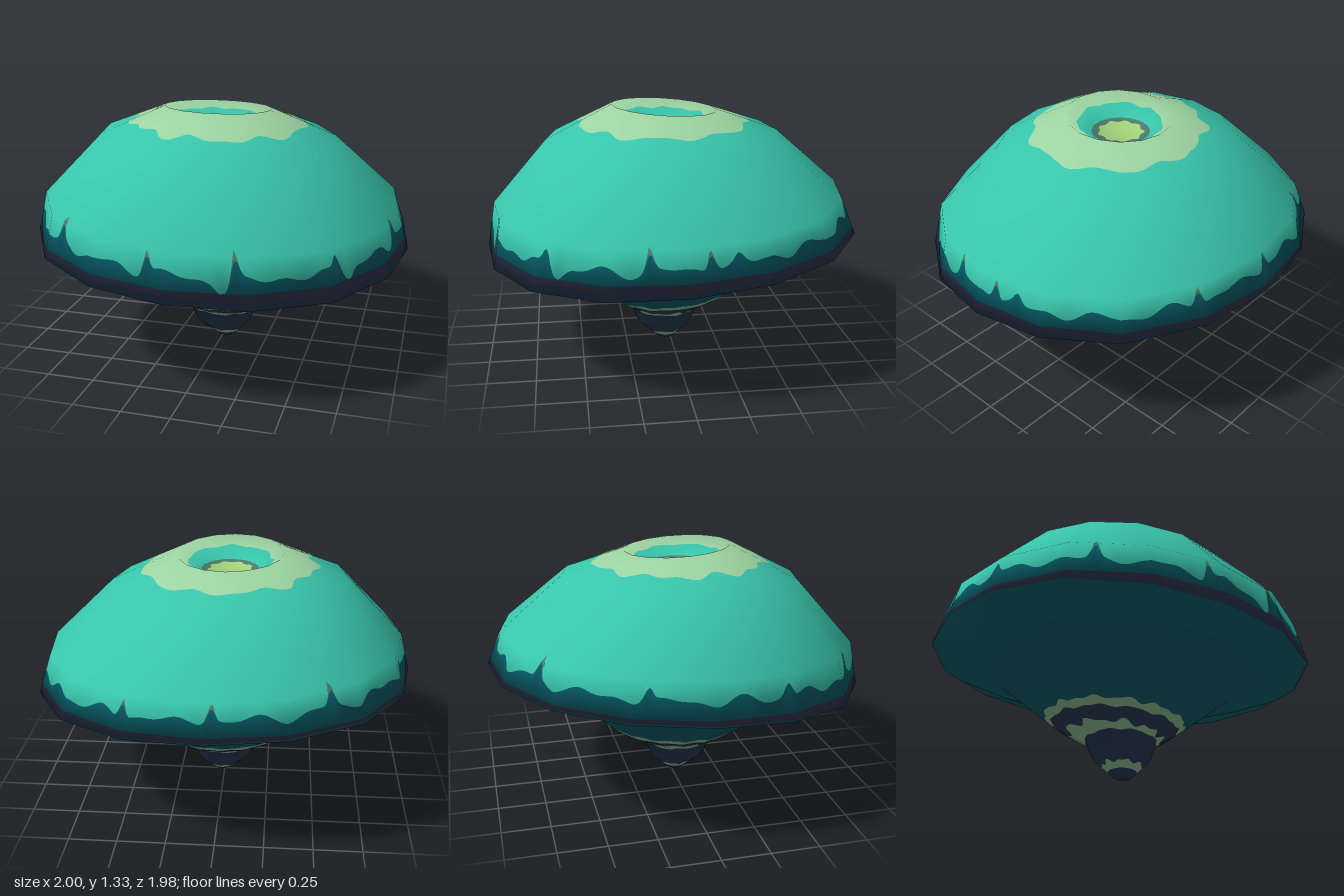
import * as THREE from 'three';

const SIDES = 16, STEPS = 480, TURN = 0.03;

// Cross-sections from the tip up: radius, height, centre x, centre z, slope along x, slope along z, squareness
const RINGS = [
  [0, 0, 0.015, 0.025, 0, 0, 0],
  [0.045, 0.006, 0.015, 0.025, 0, 0, 0],
  [0.15, 0.1, 0, 0.035, -0.06, 0.03, 0],
  [0.195, 0.2, -0.005, 0.035, -0.05, 0.02, 0],
  [0.325, 0.28, -0.015, -0.01, -0.05, -0.07, 0.005],
  [0.638, 0.53, -0.03, 0, -0.047, -0.071, 0.012],
  [1, 0.645, 0, 0, -0.0375, -0.0725, 0.016],
  [0.945, 0.85, -0.005, 0.015, -0.034, -0.043, 0.012],
  [0.63, 1.16, -0.02, 0.04, -0.04, -0.032, 0],
  [0.285, 1.308, -0.03, 0.025, -0.02, 0.06, 0],
  [0.155, 1.22, -0.03, 0.015, 0, 0.02, 0],
  [0, 1.208, -0.03, 0.015, 0, 0, 0],
];
const TOP = RINGS.length - 1;

function corner(ring, side) {
  const [r, y, cx, cz, sx, sz, square] = RINGS[ring];
  const a = (side / SIDES) * Math.PI * 2 + TURN;
  const radius = r * (1 + square * (1 - Math.cos(4 * a)));
  const x = radius * Math.cos(a), z = radius * Math.sin(a) * 0.99;
  return new THREE.Vector3(cx + x, y + sx * x + sz * z, cz + z);
}

// Quad indices for a closed grid of rows and columns
function gridIndex(rows, cols) {
  const index = [];
  for (let i = 0; i < rows - 1; i++) {
    for (let j = 0; j < cols; j++) {
      const k = (j + 1) % cols;
      const a = i * cols + j, b = i * cols + k, c = a + cols, d = b + cols;
      index.push(a, c, b, b, c, d);
    }
  }
  return index;
}

// Smooth normals of the coarse 16-sided shell
function shellNormals() {
  const points = [];
  for (let i = 0; i <= TOP; i++) for (let j = 0; j < SIDES; j++) points.push(corner(i, j));
  const geo = new THREE.BufferGeometry().setFromPoints(points);
  geo.setIndex(gridIndex(RINGS.length, SIDES));
  geo.computeVertexNormals();
  const n = geo.getAttribute('normal');
  return (ring, side) => {
    if (ring === 0) return new THREE.Vector3(0, -1, 0);
    if (ring === TOP) return new THREE.Vector3(0, 1, 0);
    return new THREE.Vector3().fromBufferAttribute(n, ring * SIDES + side);
  };
}

// Blend a corner value across the faceted shell; v counts rings, u counts sides
function blend(value, v, u) {
  const i = Math.min(Math.floor(v), TOP - 1), j = Math.floor(u) % SIDES, k = (j + 1) % SIDES;
  const t = u - Math.floor(u);
  const low = value(i, j).lerp(value(i, k), t);
  return low.lerp(value(i + 1, j).lerp(value(i + 1, k), t), v - i);
}

// One coloured zone of the shell between two wavy edges
function zone(name, material, from, to, normalAt) {
  const first = Math.floor(from(0)) - 1, last = Math.ceil(to(0)) + 1;
  const positions = [], normals = [];
  let rows = 0;
  for (let ring = first; ring <= last; ring++, rows++) {
    for (let s = 0; s < STEPS; s++) {
      const u = (s / STEPS) * SIDES, a = (s / STEPS) * Math.PI * 2 + TURN;
      const lo = from(a), hi = to(a);
      const v = ring === first ? lo : ring === last ? hi : THREE.MathUtils.clamp(ring, lo, hi);
      positions.push(...blend(corner, v, u));
      normals.push(...blend(normalAt, v, u).normalize());
    }
  }
  const geo = new THREE.BufferGeometry();
  geo.setAttribute('position', new THREE.Float32BufferAttribute(positions, 3));
  geo.setAttribute('normal', new THREE.Float32BufferAttribute(normals, 3));
  geo.setIndex(gridIndex(rows, STEPS));
  const mesh = new THREE.Mesh(geo, material);
  mesh.name = name;
  return mesh;
}

// Wavy edge around the shell
const wave = (base, amp, f, phase = 0) => (a) =>
  base + amp * (0.5 * Math.sin(f * a + phase) + 0.3 * Math.sin((f * 2 - 3) * a + 1.3 + phase) + 0.2 * Math.sin((f + 5) * a + 4));
const level = (v) => () => v;

// Edge that swings from its base at the back right to base + rise at the front left
const swing = (base, rise) => (a) => base + rise * (0.5 + 0.5 * Math.cos(a - Math.PI / 4));

// Ragged lower edge of the cap: angle, height, width of each notch or drip
const NOTCHES = [
  [1.69, 0.36, 0.025], [1.26, 0.36, 0.025], [1.32, -0.24, 0.045], [2.26, 0.32, 0.025], [2.8, 0.3, 0.03],
  [0.21, 0.32, 0.025], [6.2, 0.34, 0.025], [6.06, 0.2, 0.03], [5.15, 0.36, 0.025], [4.71, 0.36, 0.025],
  [4.11, 0.36, 0.025], [3.5, 0.3, 0.025], [0.75, 0.3, 0.025], [0.68, -0.18, 0.04],
];
const bump = (a, at, w) => Math.exp(-(((a - at) / w) ** 2));
const ripple = wave(6.57, 0.15, 17);
const capEdge = (a) => NOTCHES.reduce((v, [at, h, w]) => v + h * bump(a, at, w), ripple(a));
const tipEdge = (a) => NOTCHES.reduce((v, [at, h, w]) => v + (h > 0.31 ? 0.13 * bump(a, at, w * 0.7) : 0), capEdge(a));

// Patchy band around the stem, wider towards the back
const bandWave = wave(3.4, 0.22, 9, 2);
const middleEdge = (a) => bandWave(a) - 0.16 * Math.cos(a - Math.PI / 4);

export function createModel() {
  const group = new THREE.Group();
  group.name = 'mushroomShell';
  const paint = (name, color) => {
    const m = new THREE.MeshStandardMaterial({ color });
    m.name = name;
    return m;
  };
  const turquoise = paint('turquoise', 0x38c5ab);
  const darkTeal = paint('dark teal', 0x055a66);
  const navy = paint('navy', 0x25374f);
  const plum = paint('plum', 0x3b3149);
  const pale = paint('pale green', 0x9dd4a2);
  const sage = paint('sage', 0x8bba8e);
  const slate = paint('slate green', 0x4b7a6b);
  const lime = paint('lime', 0xa5d47b);

  // Paints and their upper edges, from the tip up to the crater floor
  const zones = [
    ['stemTip', navy, level(1.3)],
    ['tipBand', sage, wave(1.6, 0.1, 7)],
    ['lowerStem', navy, wave(2.95, 0.07, 8)],
    ['middleBand', sage, middleEdge],
    ['upperStem', navy, wave(4.05, 0.03, 11)],
    ['collarBand', sage, wave(4.17, 0.04, 13, 1)],
    ['underside', darkTeal, swing(6.05, -0.07)],
    ['rim', navy, swing(6.07, 0.11)],
    ['rimStripe', plum, swing(6.13, 0.12)],
    ['upperRim', navy, swing(6.14, 0.18)],
    ['rimWall', darkTeal, capEdge],
    ['notchTips', slate, tipEdge],
    ['cap', turquoise, wave(8.49, 0.09, 9)],
    ['capRing', pale, wave(9.46, 0.06, 7)],
    ['craterWall', turquoise, level(10)],
    ['craterRing', slate, (a) => 10.24 + 0.05 * Math.sin(9 * a)],
    ['craterFloor', lime, level(TOP)],
  ];
  const normalAt = shellNormals();
  let from = level(0);
  for (const [name, material, to] of zones) {
    group.add(zone(name, material, from, to, normalAt));
    from = to;
  }
  return group;
}
